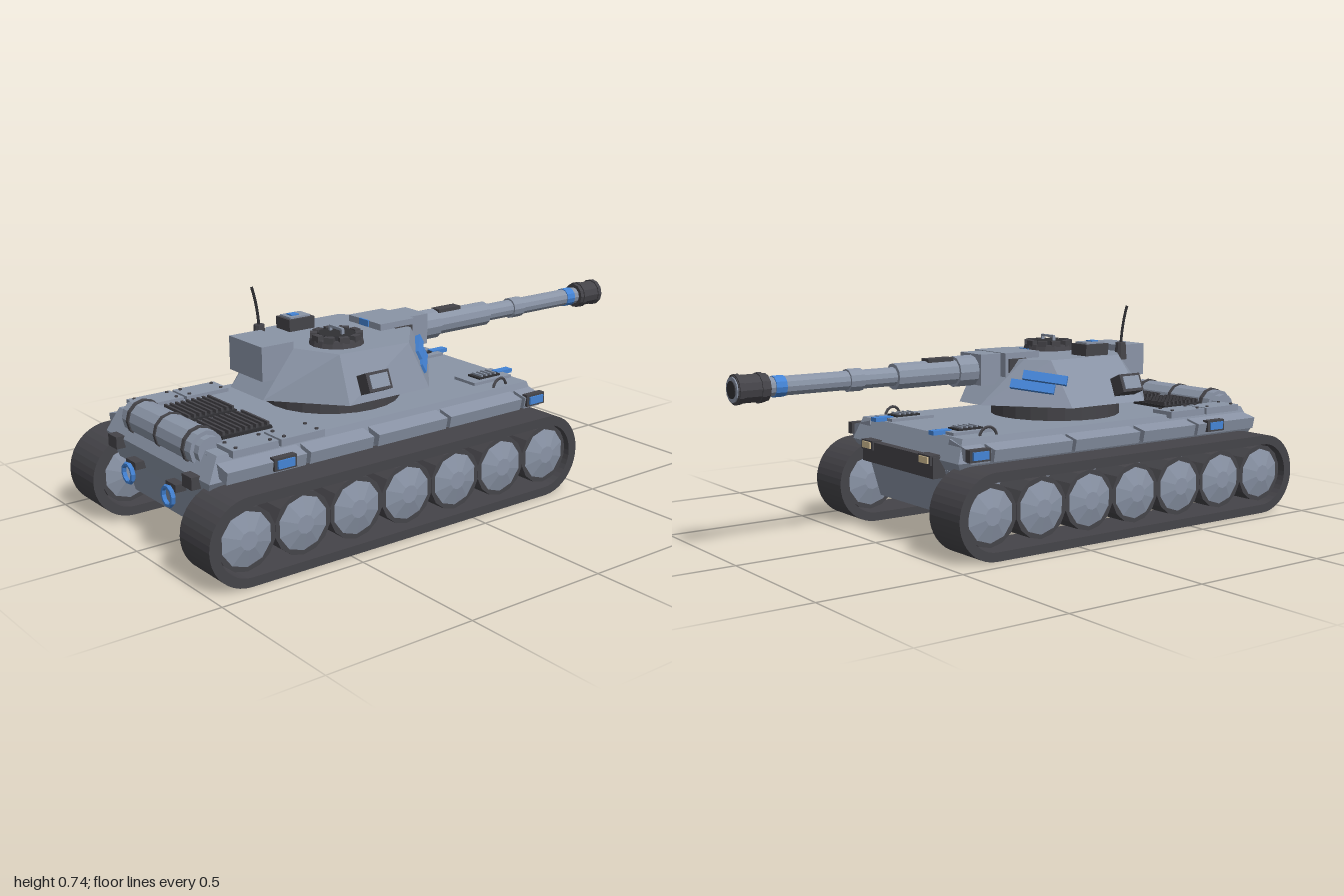
import * as THREE from 'three';

const paint = (name, hex, double) => {
  const m = new THREE.MeshStandardMaterial({ color: hex });
  m.name = name;
  m.flatShading = true;
  if (double) m.side = THREE.DoubleSide;
  return m;
};

export function createModel() {
  const root = new THREE.Group();
  root.name = 'tank';
  const gray = paint('armour gray', 0x8a94a6);
  const dark = paint('dark metal', 0x454449);
  const black = paint('grille black', 0x303034);
  const blue = paint('marker blue', 0x4484d6);
  const cream = paint('lamp cream', 0xd6c196);

  const add = (name, geo, mat, x = 0, y = 0, z = 0) => {
    const m = new THREE.Mesh(geo, mat);
    m.name = name;
    m.position.set(x, y, z);
    root.add(m);
    return m;
  };
  // Box given by its extents on each axis
  const box = (name, mat, [x0, x1], [y0, y1], [z0, z1]) =>
    add(name, new THREE.BoxGeometry(x1 - x0, y1 - y0, Math.abs(z1 - z0)), mat,
      (x0 + x1) / 2, (y0 + y1) / 2, (z0 + z1) / 2);
  // Cylinder along x, y or z
  const cyl = (name, mat, axis, r0, r1, len, x, y, z, n = 12) => {
    const g = new THREE.CylinderGeometry(r1, r0, len, n);
    if (axis === 'x') g.rotateZ(-Math.PI / 2);
    if (axis === 'z') g.rotateX(Math.PI / 2);
    return add(name, g, mat, x, y, z);
  };
  // Solid through stacked rings, each counter-clockwise from above
  const loft = (name, mat, levels) => {
    const p = [];
    const n = levels[0].length;
    const tri = (...v) => v.forEach((q) => p.push(...q));
    for (let l = 0; l + 1 < levels.length; l++) {
      for (let i = 0; i < n; i++) {
        const j = (i + 1) % n, a = levels[l], b = levels[l + 1];
        tri(a[i], a[j], b[j]);
        tri(a[i], b[j], b[i]);
      }
    }
    const lo = levels[0], hi = levels[levels.length - 1];
    for (let i = 1; i + 1 < n; i++) {
      tri(hi[0], hi[i], hi[i + 1]);
      tri(lo[0], lo[i + 1], lo[i]);
    }
    const g = new THREE.BufferGeometry();
    g.setAttribute('position', new THREE.Float32BufferAttribute(p, 3));
    g.computeVertexNormals();
    return add(name, g, mat);
  };
  const rect = (x0, x1, y, z) => [[x1, y, z], [x1, y, -z], [x0, y, -z], [x0, y, z]];
  const ring = (y, pts) => pts.map(([x, z]) => [x, y, z]);

  // Hull
  loft('lowerHull', gray, [rect(-0.86, 0.32, 0.095, 0.257), rect(-0.9, 0.37, 0.26, 0.257)]);
  loft('upperHull', gray, [rect(-0.9, 0.34, 0.215, 0.275), rect(-0.92, 0.39, 0.295, 0.32),
    rect(-0.88, 0.36, 0.37, 0.3)]);
  box('frontBar', dark, [0.35, 0.415], [0.235, 0.305], [-0.215, 0.215]);

  // Tracks
  const stadium = (S, x0, x1, y0, y1) => {
    const s = new S(), r = (y1 - y0) / 2, c = y0 + r;
    s.moveTo(x0 + r, y0);
    s.lineTo(x1 - r, y0);
    s.absarc(x1 - r, c, r, -Math.PI / 2, Math.PI / 2, false);
    s.lineTo(x0 + r, y1);
    s.absarc(x0 + r, c, r, Math.PI / 2, Math.PI * 1.5, false);
    return s;
  };
  const belt = stadium(THREE.Shape, -1, 0.47, 0, 0.282);
  belt.holes.push(stadium(THREE.Path, -0.967, 0.437, 0.03, 0.25));
  const beltGeo = new THREE.ExtrudeGeometry(belt, { depth: 0.165, bevelEnabled: false, curveSegments: 10 });

  for (const s of [1, -1]) {
    const side = s > 0 ? 'left' : 'right';
    const zs = (a, b) => [a * s, b * s];
    add(side + 'Track', beltGeo, dark, 0, 0, s > 0 ? 0.275 : -0.44);
    // Road wheels: dark rim, pale shallow cone on both faces
    for (let i = 0; i < 7; i++) {
      const x = -0.86 + i * 0.1995;
      cyl(side + 'WheelRim', dark, 'z', 0.102, 0.102, 0.12, x, 0.143, s * 0.357, 14);
      for (const f of [1, -1]) {
        cyl(side + 'WheelDisc', gray, 'z', f > 0 ? 0.088 : 0.03, f > 0 ? 0.03 : 0.088, 0.015,
          x, 0.143, s * 0.357 + f * 0.0675, 10);
      }
    }
    // Sloping fender panels
    for (const [a, b] of [[-0.885, -0.605], [-0.59, -0.35], [-0.33, -0.05], [-0.035, 0.28], [0.295, 0.37]]) {
      const m = box(side + 'Fender', gray, [a, b], [0.31, 0.35], zs(0.235, 0.362));
      m.rotation.x = s * 0.22;
    }
    // Side marker lamps
    for (const x of [-0.685, 0.34]) {
      box(side + 'LampCase', dark, [x - 0.04, x + 0.04], [0.305, 0.345], zs(0.345, 0.369));
      box(side + 'LampLens', blue, [x - 0.03, x + 0.03], [0.312, 0.338], zs(0.368, 0.375));
    }
    // Rear deck: stowage lids with bolts, and engine grille with louvres
    for (const x of [-0.76, -0.59]) {
      box(side + 'StowageLid', gray, [x - 0.08, x + 0.08], [0.36, 0.383], zs(0.23, 0.325));
      for (const dx of [-0.06, 0.06]) {
        for (const z of [0.247, 0.308]) cyl('lidBolt', dark, 'y', 0.006, 0.006, 0.006, x + dx, 0.385, s * z, 6);
      }
    }
    box(side + 'EngineGrille', black, [-0.79, -0.61], [0.36, 0.38], zs(0.018, 0.185));
    for (let i = 0; i < 9; i++) {
      const x = -0.78 + i * 0.02;
      box(side + 'Louvre', dark, [x - 0.004, x + 0.004], [0.38, 0.392], zs(0.025, 0.178));
    }
    // Front deck: driver hatch, vent, handle, blue clip
    box(side + 'DriverHatch', gray, [0.18, 0.35], [0.36, 0.38], zs(0.13, 0.235));
    box(side + 'DriverVent', black, [0.22, 0.315], [0.38, 0.386], zs(0.155, 0.215));
    for (let i = 0; i < 4; i++) {
      const x = 0.238 + i * 0.02;
      box(side + 'VentBar', gray, [x - 0.003, x + 0.003], [0.386, 0.392], zs(0.16, 0.21));
    }
    const handle = add(side + 'DeckHandle', new THREE.TorusGeometry(0.032, 0.005, 5, 8, Math.PI), dark,
      0.25, 0.365, s * 0.285);
    handle.rotation.y = 0.1 * s;
    box(side + 'FrontClip', blue, [0.325, 0.395], [0.37, 0.384], zs(0.16, 0.19));
    // Headlamps and front brackets
    box(side + 'HeadlampCase', dark, [0.37, 0.422], [0.278, 0.31], zs(0.14, 0.21));
    box(side + 'Headlamp', cream, [0.421, 0.427], [0.283, 0.305], zs(0.15, 0.2));
    // Rear lamps, tow hooks and roll straps
    box(side + 'RearLamp', dark, [-0.945, -0.9], [0.265, 0.305], zs(0.205, 0.26));
    const hook = add(side + 'TowHook', new THREE.TorusGeometry(0.03, 0.008, 6, 10), blue, -0.95, 0.21, s * 0.125);
    hook.rotation.set(0, Math.PI / 2, 0);
    hook.rotation.z = 0.5;
    box(side + 'HookPlate', dark, [-0.94, -0.89], [0.225, 0.25], zs(0.095, 0.155));
    cyl(side + 'RollStrap', dark, 'z', 0.063, 0.063, 0.014, -0.86, 0.363, s * 0.17);
    cyl(side + 'RollEnd', gray, 'z', 0.045, 0.045, 0.03, -0.86, 0.363, s * 0.22);
    // Turret side boxes, tilted with the wall
    const pod = new THREE.Group();
    pod.name = side + 'TurretPod';
    pod.position.set(-0.31, 0.494, s * 0.315);
    pod.rotation.x = -s * 0.4;
    const podCase = new THREE.Mesh(new THREE.BoxGeometry(0.09, 0.062, 0.05), dark);
    podCase.name = 'podCase';
    const podFace = new THREE.Mesh(new THREE.BoxGeometry(0.07, 0.044, 0.006), gray);
    podFace.name = 'podFace';
    podFace.position.z = s * 0.026;
    pod.add(podCase, podFace);
    root.add(pod);
    // Blue plates on the front cheeks
    const u = new THREE.Vector3(0.66, 0.12, -0.75 * s).normalize();
    const n = new THREE.Vector3(0.68, 0.42, 0.6 * s);
    n.addScaledVector(u, -n.dot(u)).normalize();
    const v = n.clone().cross(u);
    const cheek = new THREE.Group();
    cheek.name = side + 'CheekPlates';
    for (const k of [-0.018, 0.018]) {
      const m = new THREE.Mesh(new THREE.BoxGeometry(0.15, 0.031, 0.018), blue);
      m.name = 'cheekPlate';
      m.position.set(k, k, 0);
      cheek.add(m);
    }
    cheek.setRotationFromMatrix(new THREE.Matrix4().makeBasis(u, v, n));
    cheek.position.set(-0.025, 0.51, s * 0.195);
    root.add(cheek);
  }
  cyl('rearRoll', gray, 'z', 0.058, 0.058, 0.42, -0.86, 0.363, 0);
  cyl('rollMiddleStrap', dark, 'z', 0.062, 0.062, 0.012, -0.86, 0.363, 0);

  // Turret
  cyl('turretRing', dark, 'y', 0.228, 0.228, 0.055, -0.25, 0.393, 0, 24);
  cyl('turretNeck', dark, 'y', 0.19, 0.19, 0.02, -0.25, 0.425, 0, 24);
  loft('turretBody', gray, [
    ring(0.43, [[0.12, -0.06], [-0.08, -0.305], [-0.4, -0.305], [-0.58, -0.1],
      [-0.58, 0.09], [-0.4, 0.305], [-0.08, 0.305], [0.12, 0.06]]),
    ring(0.58, [[-0.02, -0.12], [-0.08, -0.19], [-0.38, -0.19], [-0.46, -0.09],
      [-0.46, 0.09], [-0.39, 0.24], [-0.13, 0.262], [0, 0.11]])]);
  box('bustleBox', gray, [-0.58, -0.46], [0.49, 0.602], [-0.1, 0.09]);

  // Cupola
  cyl('cupolaBase', dark, 'y', 0.09, 0.085, 0.022, -0.31, 0.59, 0.115, 16);
  cyl('cupolaLid', black, 'y', 0.065, 0.06, 0.016, -0.31, 0.606, 0.115, 12);
  for (let i = 0; i < 10; i++) {
    const a = (i / 10) * Math.PI * 2;
    const b = add('periscope', new THREE.BoxGeometry(0.022, 0.02, 0.032), dark,
      -0.31 + Math.cos(a) * 0.074, 0.605, 0.115 + Math.sin(a) * 0.074);
    b.rotation.y = -a;
  }
  box('cupolaHandle', gray, [-0.315, -0.305], [0.625, 0.633], [0.08, 0.15]);
  for (const z of [0.083, 0.147]) box('handlePost', gray, [-0.315, -0.305], [0.61, 0.628], [z - 0.004, z + 0.004]);

  // Sight box and aerial
  box('sightBox', dark, [-0.355, -0.255], [0.57, 0.62], [-0.165, -0.085]);
  box('sightLid', gray, [-0.345, -0.265], [0.62, 0.626], [-0.155, -0.095]);
  box('sightMarker', blue, [-0.33, -0.3], [0.626, 0.63], [-0.14, -0.11]);
  cyl('aerialBase', dark, 'y', 0.022, 0.018, 0.06, -0.452, 0.585, -0.12, 10);
  const whip = new THREE.QuadraticBezierCurve3(new THREE.Vector3(-0.452, 0.6, -0.12),
    new THREE.Vector3(-0.455, 0.68, -0.122), new THREE.Vector3(-0.474, 0.743, -0.126));
  add('aerial', new THREE.TubeGeometry(whip, 6, 0.005, 5), black);

  // Mantlet and gun
  const gy = 0.543;
  box('mantlet', gray, [-0.11, 0.035], [0.505, 0.602], [-0.088, 0.088]);
  box('mantletFoot', dark, [-0.09, 0.03], [0.478, 0.506], [-0.085, 0.088]);
  box('mantletCheek', dark, [-0.05, 0.022], [0.535, 0.582], [-0.094, 0.094]);
  box('mantletMarker', blue, [-0.115, -0.108], [0.582, 0.604], [-0.025, 0.025]);
  box('gunHousing', gray, [0.03, 0.115], [0.495, 0.6], [-0.06, 0.06]);
  for (const [name, mat, x0, x1, r] of [
    ['gunCollar', gray, 0.11, 0.19, 0.052], ['gunSleeve', gray, 0.19, 0.425, 0.043],
    ['barrel', gray, 0.42, 0.89, 0.031], ['barrelBand', gray, 0.55, 0.6, 0.037],
    ['blueBand', blue, 0.825, 0.862, 0.034], ['muzzle', dark, 0.885, 0.993, 0.044],
    ['muzzleRing', dark, 0.9, 0.915, 0.048], ['muzzleRing', dark, 0.975, 0.99, 0.048],
    ['muzzleFace', gray, 0.99, 0.997, 0.04], ['bore', black, 0.995, 1, 0.028]]) {
    cyl(name, mat, 'x', r, r, x1 - x0, (x0 + x1) / 2, gy, 0, 12);
  }
  box('sleeveCover', dark, [0.2, 0.3], [0.575, 0.593], [-0.02, 0.02]);
  return root;
}
